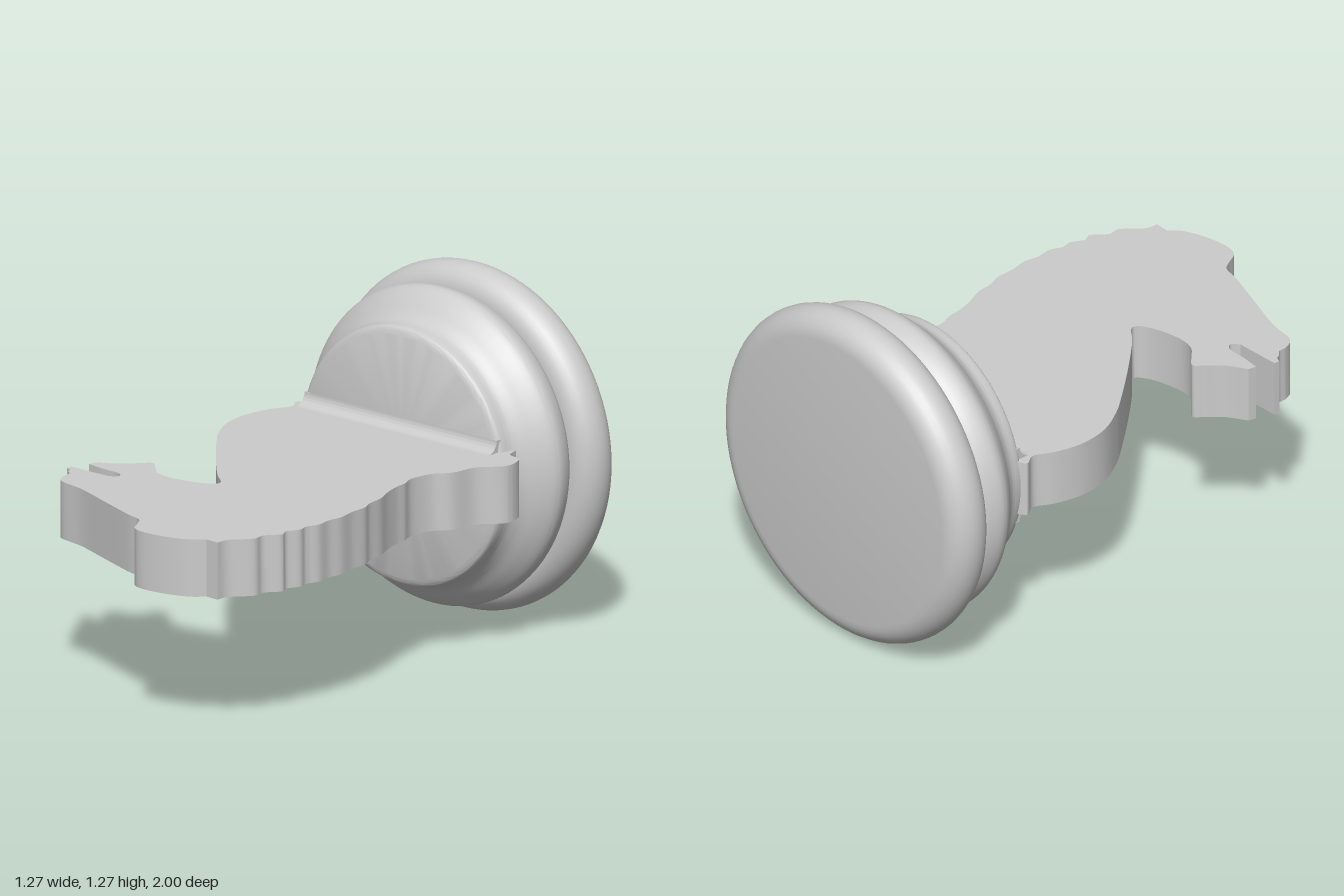
import * as THREE from 'three';
import { toCreasedNormals } from 'three/addons/utils/BufferGeometryUtils.js';

const MID = 0.635; // height of the base axis
const HALF = 0.105; // half thickness of the flat figure

// Outline of the horse as [x, z] runs; each run is smooth, runs meet in corners
const OUTLINE = [
  // chest, throat and chin
  [[-0.44, -0.62], [-0.455, -0.57], [-0.49, -0.54], [-0.465, -0.49], [-0.5, -0.41], [-0.52, -0.3], [-0.5, -0.18],
    [-0.44, -0.07], [-0.37, 0.02], [-0.25, 0.16], [-0.12, 0.3], [-0.05, 0.36], [-0.055, 0.395], [-0.12, 0.425],
    [-0.22, 0.44], [-0.29, 0.425], [-0.34, 0.38], [-0.38, 0.348], [-0.41, 0.375], [-0.46, 0.43], [-0.535, 0.475]],
  // mouth slot
  [[-0.54, 0.505], [-0.47, 0.515], [-0.39, 0.52], [-0.365, 0.545], [-0.39, 0.57]],
  [[-0.567, 0.57], [-0.567, 0.592]],
  // nose, forehead and crown
  [[-0.545, 0.6], [-0.535, 0.62], [-0.515, 0.64], [-0.51, 0.68], [-0.475, 0.725], [-0.36, 0.75], [-0.2, 0.81],
    [-0.04, 0.87], [0.03, 0.89], [0.06, 0.93], [0.09, 0.98], [0.15, 0.997], [0.25, 0.985], [0.33, 0.955], [0.37, 0.917]],
  // wavy mane
  [[0.425, 0.92], [0.433, 0.87], [0.49, 0.8], [0.49, 0.75], [0.53, 0.695], [0.517, 0.66], [0.54, 0.61], [0.533, 0.57],
    [0.55, 0.52], [0.543, 0.46], [0.55, 0.4], [0.537, 0.33], [0.535, 0.26], [0.515, 0.21], [0.505, 0.14], [0.475, 0.07],
    [0.455, 0], [0.45, -0.05], [0.43, -0.11], [0.445, -0.2], [0.49, -0.26], [0.51, -0.36], [0.57, -0.43], [0.58, -0.48],
    [0.555, -0.54], [0.5, -0.555], [0.48, -0.61]],
];

export function createModel() {
  const group = new THREE.Group();
  const mat = new THREE.MeshStandardMaterial({ color: 0xcccccc });
  const add = (name, geo) => {
    const mesh = new THREE.Mesh(geo, mat);
    mesh.name = name;
    group.add(mesh);
    return mesh;
  };

  // Turned parts: [radius, z] profiles running from back to front
  const turned = (name, points) => {
    const geo = new THREE.LatheGeometry(points.map(([r, z]) => new THREE.Vector2(r, z)), 96);
    geo.rotateX(Math.PI / 2);
    geo.translate(0, MID, 0);
    return add(name, toCreasedNormals(geo, 0.6));
  };

  // Foot disc with a fully rounded rim
  const rim = [[0, -1]];
  for (let i = 0; i <= 14; i++) {
    const a = -Math.PI / 2 + (Math.PI * i) / 14;
    rim.push([0.543 + 0.091 * Math.cos(a), -0.909 + 0.091 * Math.sin(a)]);
  }
  turned('footDisc', [...rim, [0, -0.818]]);

  // Collar with a bulge, a waist and a rounded front edge
  const collar = new THREE.SplineCurve([
    [0.545, -0.82], [0.567, -0.79], [0.581, -0.745], [0.573, -0.71], [0.54, -0.67], [0.502, -0.634], [0.48, -0.6],
    [0.475, -0.57], [0.468, -0.55], [0.445, -0.54],
  ].map(([r, z]) => new THREE.Vector2(r, z))).getPoints(40).map((p) => [p.x, p.y]);
  turned('collar', [[0, -0.82], ...collar, [0, -0.54]]);

  // Flat horse figure
  const outline = OUTLINE.flatMap((run) => new THREE.SplineCurve(
    run.map(([x, z]) => new THREE.Vector2(x, -z))).getPoints((run.length - 1) * 5));
  const horse = new THREE.ExtrudeGeometry(new THREE.Shape(outline), { depth: 2 * HALF, bevelEnabled: false });
  horse.rotateX(-Math.PI / 2);
  horse.translate(0, MID - HALF, 0);
  add('horseFigure', toCreasedNormals(horse, 0.6));

  // Concave fillets joining the figure to the collar, above and below
  const R = 0.045;
  const cove = new THREE.Shape();
  cove.moveTo(0.56, -0.01);
  cove.lineTo(0.54 - R, -0.01);
  cove.lineTo(0.54 - R, 0);
  cove.absarc(0.54 - R, R, R, -Math.PI / 2, 0, false);
  cove.lineTo(0.56, R);
  cove.closePath();
  for (const side of [1, -1]) {
    const geo = new THREE.ExtrudeGeometry(cove, { depth: 0.9, bevelEnabled: false, curveSegments: 10 });
    geo.translate(0, HALF, -0.45);
    geo.rotateY(Math.PI / 2); // profile now lies across z, length along x
    const fillet = add(side > 0 ? 'upperFillet' : 'lowerFillet', toCreasedNormals(geo, 0.6));
    fillet.position.y = MID;
    if (side < 0) fillet.scale.y = -1;
  }
  return group;
}
